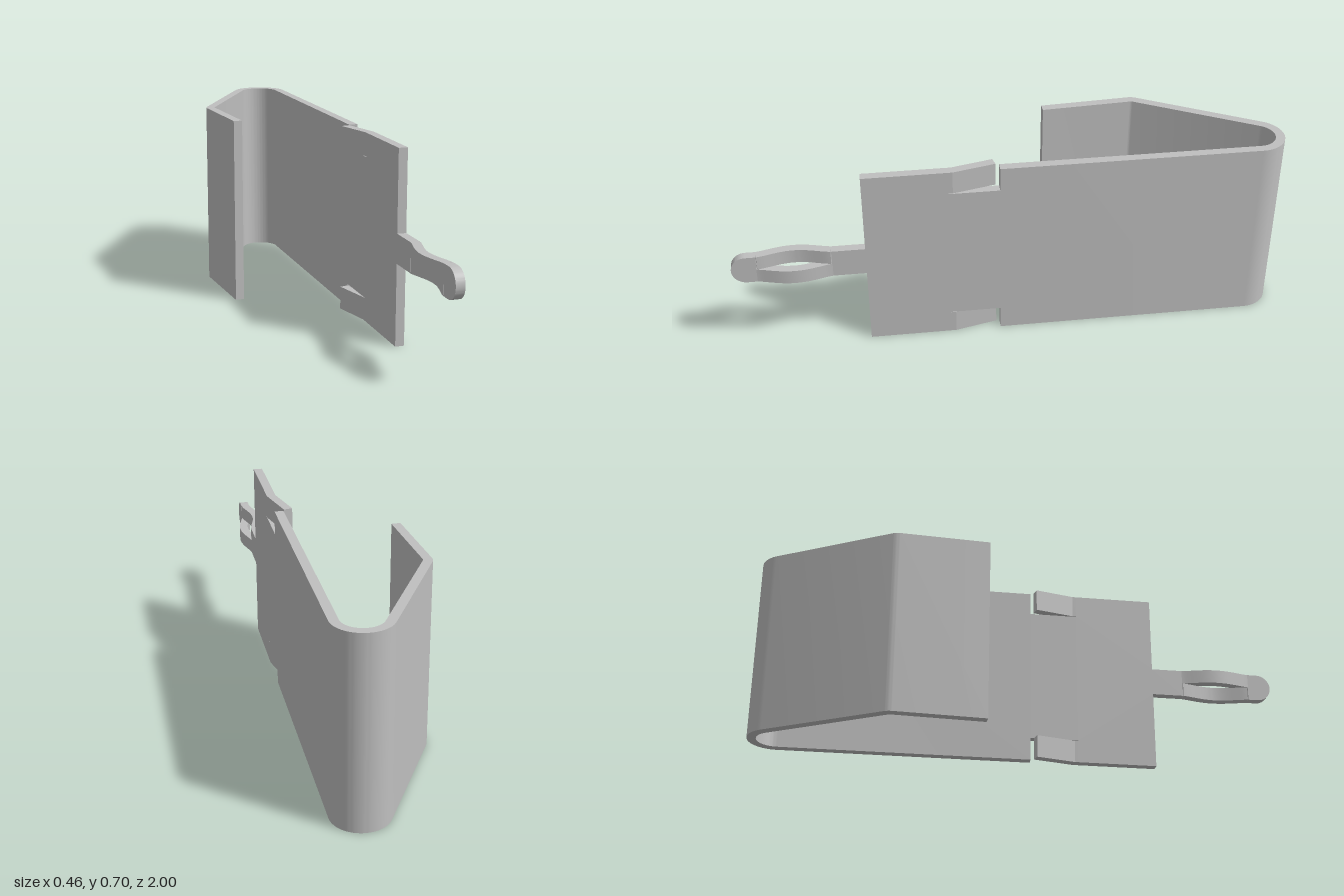
import * as THREE from 'three';
import { toCreasedNormals } from 'three/addons/utils/BufferGeometryUtils.js';

const T = 0.033;          // sheet thickness
const X = 0.1885;         // centre plane of the flat plate
const H = 0.7;            // sheet height
const MID = 0.351;        // height of the pin axis
const HALF = 0.053;       // half width of the pin

const steel = new THREE.MeshStandardMaterial({ color: 0xbfbfbf });
steel.name = 'steel grey';

function addMesh(group, name, geometry) {
  const mesh = new THREE.Mesh(toCreasedNormals(geometry, 0.2), steel);
  mesh.name = name;
  group.add(mesh);
}

// Bent strip: centre line given as [x, z] points, thickened and raised from y0 to y1
function strip(line, y0, y1) {
  const p = line.map(([x, z]) => new THREE.Vector2(x, -z));
  const left = [], right = [];
  p.forEach((q, i) => {
    const a = q.clone().sub(p[Math.max(i - 1, 0)]).normalize();
    const b = p[Math.min(i + 1, p.length - 1)].clone().sub(q).normalize();
    const d = a.add(b).normalize();
    const n = new THREE.Vector2(-d.y, d.x).multiplyScalar(T / 2);
    left.push(q.clone().add(n));
    right.unshift(q.clone().sub(n));
  });
  const g = new THREE.ExtrudeGeometry(new THREE.Shape([...left, ...right]),
    { depth: y1 - y0, bevelEnabled: false });
  return g.rotateX(-Math.PI / 2).translate(0, y0, 0);
}

// Flat sheet: outline given as [z, y] points
function sheet(outline) {
  const shape = new THREE.Shape(outline.map(([z, y]) => new THREE.Vector2(-z, y)));
  const g = new THREE.ExtrudeGeometry(shape, { depth: T, bevelEnabled: false });
  return g.rotateY(Math.PI / 2).translate(X - T / 2, 0, 0);
}

// Points on an arc in the x-z plane, angles in degrees
function arc(cx, cz, r, from, to, n) {
  return Array.from({ length: n + 1 }, (_, i) => {
    const a = THREE.MathUtils.degToRad(from + (to - from) * i / n);
    return [cx + r * Math.cos(a), cz + r * Math.sin(a)];
  });
}

export function createModel() {
  const group = new THREE.Group();
  group.name = 'springClip';

  // Folded spring: flat back, round fold, slanted arm and short end leg
  const slotBack = 0.042, slotFront = 0.055;
  addMesh(group, 'foldedSpring', strip([
    [X, slotBack],
    ...arc(0.1, -0.8955, 0.0885, 0, -151, 32),
    ...arc(-0.179, -0.5, 0.0365, -151, -183.5, 8),
    [-0.195, -0.165],
  ], 0, H));

  // Front plate with cut corners for the tabs, and the stem of the pin
  const cut = 0.088, tabRoot = 0.225, front = 0.525, slitStart = 0.645, slitEnd = 0.91;
  addMesh(group, 'frontPlate', sheet([
    [slotBack, cut], [tabRoot, cut], [tabRoot, 0], [front, 0],
    [front, MID - HALF], [slitStart, MID - HALF], [slitStart, MID + HALF], [front, MID + HALF],
    [front, H], [tabRoot, H], [tabRoot, H - cut], [slotBack, H - cut],
  ]));

  // Locking tabs bent inwards at the upper and lower edges
  const tabLine = [[X, tabRoot], [X, 0.21], [0.152, slotFront + 0.003]];
  addMesh(group, 'lowerTab', strip(tabLine, 0, cut - 0.002));
  addMesh(group, 'upperTab', strip(tabLine, H - cut + 0.002, H));

  // Split pin: the two halves bow in opposite directions
  for (const [name, side, y0] of [['upperPinHalf', -1, MID], ['lowerPinHalf', 1, MID - HALF]]) {
    const line = Array.from({ length: 29 }, (_, i) => {
      const t = i / 28;
      const bow = 0.026 * Math.pow(Math.abs(Math.sin(Math.PI * t)), 1.3);
      return [X + side * bow, slitStart + (slitEnd - slitStart) * t];
    });
    addMesh(group, name, strip(line, y0, y0 + HALF));
  }

  // Rounded pin tip
  addMesh(group, 'pinTip', sheet([
    [slitEnd, MID - HALF],
    ...arc(1 - HALF, MID, HALF, -90, 90, 24),
    [slitEnd, MID + HALF],
  ]));

  return group;
}
